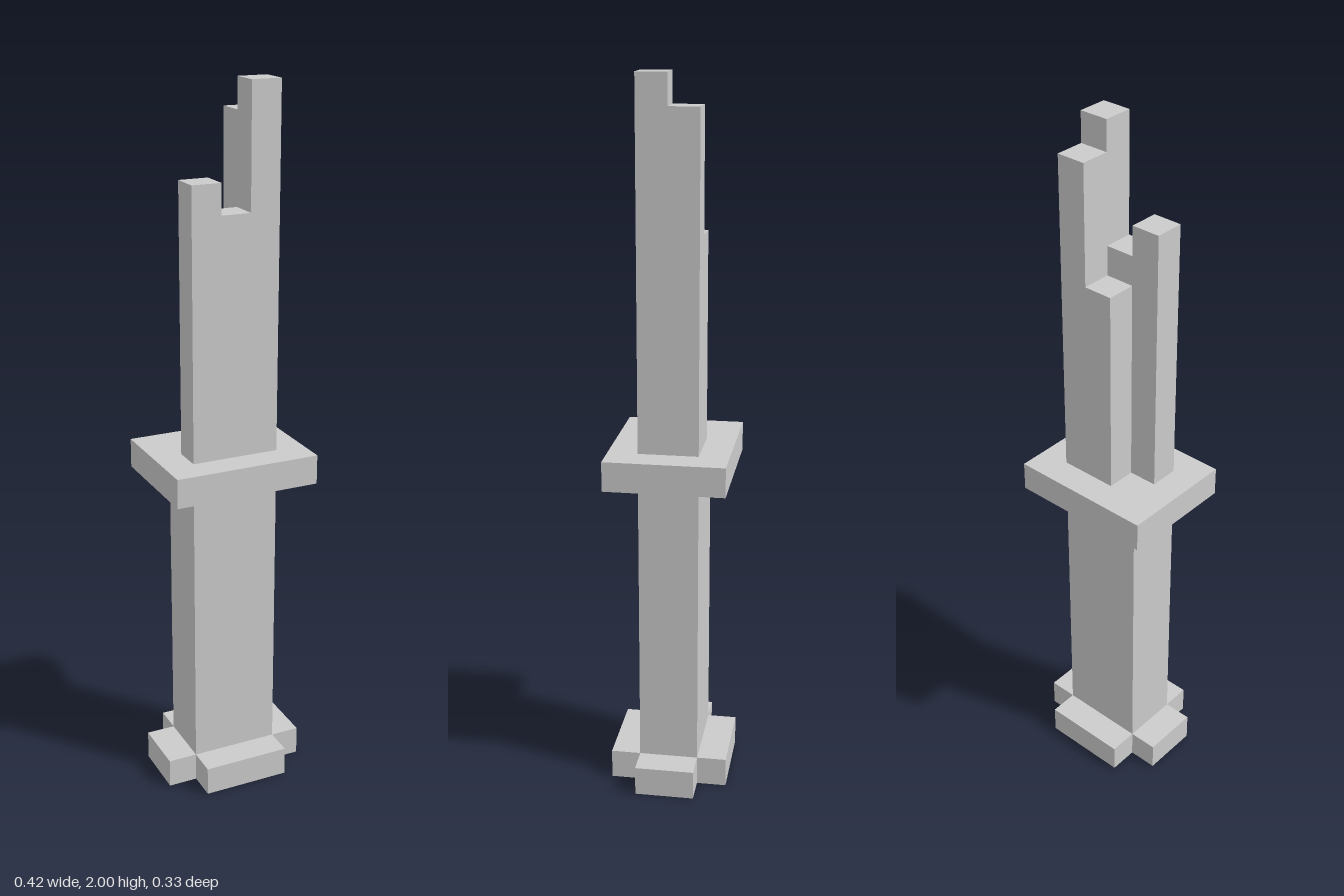
import * as THREE from 'three';

const U = 1 / 12; // one block

export function createModel() {
  const model = new THREE.Group();
  const material = new THREE.MeshStandardMaterial({ color: 0xcccccc, flatShading: true });

  function add(name, geometry) {
    const mesh = new THREE.Mesh(geometry, material);
    mesh.name = name;
    model.add(mesh);
    return mesh;
  }

  // box given by its centre on the plan, its bottom and top, all in blocks
  function block(name, w, d, bottom, top, x = 0, z = 0) {
    const mesh = add(name, new THREE.BoxGeometry(w * U, (top - bottom) * U, d * U));
    mesh.position.set(x * U, (bottom + top) / 2 * U, z * U);
  }

  // cross-shaped foot: a 5 x 4 slab with its corner blocks cut away
  const outline = [
    [-1.5, -2], [1.5, -2], [1.5, -1], [2.5, -1], [2.5, 1], [1.5, 1],
    [1.5, 2], [-1.5, 2], [-1.5, 1], [-2.5, 1], [-2.5, -1], [-1.5, -1],
  ].map(([x, y]) => new THREE.Vector2(x * U, y * U));
  const foot = new THREE.ExtrudeGeometry(new THREE.Shape(outline), { depth: U, bevelEnabled: false });
  add('foot', foot.rotateX(-Math.PI / 2));

  // solid lower shaft and the collar around its top
  block('lowerShaft', 3, 2, 1, 11);
  block('collar', 5, 4, 11, 12);

  // broken upper shaft: one column per block of the plan, [x, z, top]
  const columns = [
    [-1, 0.5, 21], [0, 0.5, 20], [1, 0.5, 24],
    [0, -0.5, 19], [1, -0.5, 23],
  ];
  for (const [x, z, top] of columns) block('upperColumn', 1, 1, 12, top, x, z);

  return model;
}
